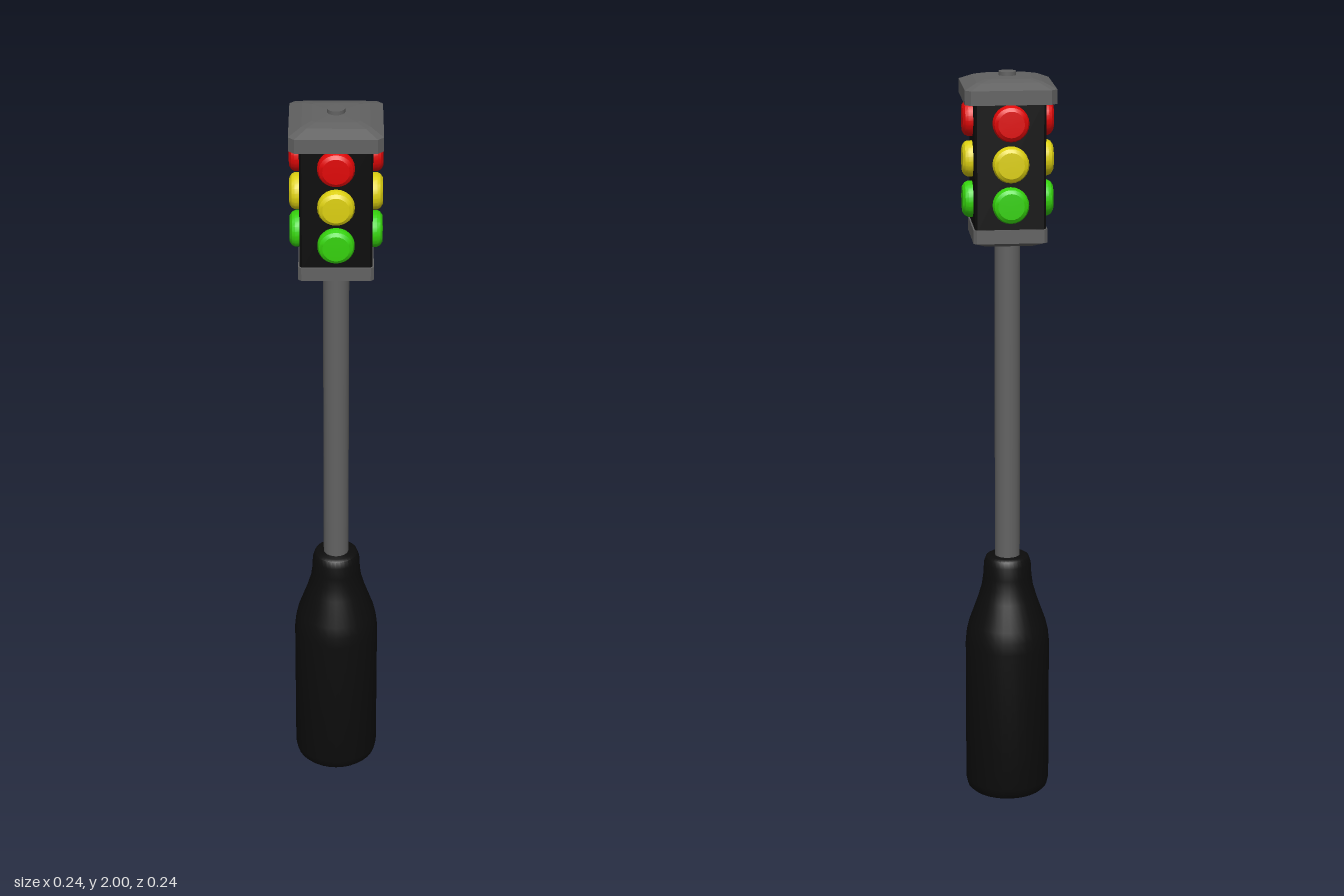
import * as THREE from 'three';
import { toCreasedNormals } from 'three/addons/utils/BufferGeometryUtils.js';

const mat = (name, color) => {
  const m = new THREE.MeshStandardMaterial({ color });
  m.name = name;
  return m;
};

// Closed loft through square sections with cut corners: [y, halfWidth, cornerCut]
function squareLoft(sections) {
  const pos = [], idx = [], n = 8;
  for (const [y, h, c] of sections) {
    const k = h - c;
    for (const [x, z] of [[h, -k], [h, k], [k, h], [-k, h], [-h, k], [-h, -k], [-k, -h], [k, -h]]) pos.push(x, y, z);
  }
  const last = (sections.length - 1) * n;
  for (let s = 0; s < last; s += n) {
    for (let i = 0; i < n; i++) {
      const a = s + i, b = s + (i + 1) % n;
      idx.push(a, a + n, b, b, a + n, b + n);
    }
  }
  for (let i = 1; i < n - 1; i++) {
    idx.push(0, i, i + 1);
    idx.push(last, last + i + 1, last + i);
  }
  const g = new THREE.BufferGeometry();
  g.setAttribute('position', new THREE.Float32BufferAttribute(pos, 3));
  g.setIndex(idx);
  return toCreasedNormals(g, 0.02);
}

// Turned shape from [radius, y] points, sharp where the profile bends strongly
const turned = (points, sides, crease = 0.5) =>
  toCreasedNormals(new THREE.LatheGeometry(points.map(p => new THREE.Vector2(...p)), sides), crease);

export function createModel() {
  const group = new THREE.Group();
  const grey = mat('grey metal', 0x626262);
  const black = mat('black', 0x0c0c0c);
  const add = (name, geometry, material, parent = group) => {
    const mesh = new THREE.Mesh(geometry, material);
    mesh.name = name;
    parent.add(mesh);
    return mesh;
  };

  // Bottle-shaped handle
  add('handle', turned([
    [0, 0], [0.102, 0], [0.11, 0.008], [0.115, 0.03], [0.115, 0.43], [0.112, 0.46], [0.105, 0.49],
    [0.08, 0.56], [0.07, 0.595], [0.066, 0.625], [0.064, 0.66], [0.058, 0.678], [0.05, 0.683], [0, 0.683],
  ], 32, 0.7), black);

  // Pole
  const pole = add('pole', new THREE.CylinderGeometry(0.034, 0.034, 0.9, 24), grey);
  pole.position.y = 1.12;

  // Signal head
  add('lowerPlate', squareLoft([[1.555, 0.07, 0.01], [1.567, 0.096, 0.008], [1.603, 0.096, 0.008]]), grey);
  add('housing', squareLoft([[1.6, 0.092, 0.006], [1.935, 0.092, 0.006]]), black);
  add('roof', squareLoft([
    [1.93, 0.118, 0.015], [1.967, 0.118, 0.015], [1.982, 0.085, 0.012], [1.988, 0.06, 0.01], [1.99, 0.02, 0.005],
  ]), grey);
  const knob = add('roofKnob', new THREE.CylinderGeometry(0.023, 0.023, 0.02, 24), grey);
  knob.position.y = 1.99;

  // Three lamps on each of the four sides
  const lensGeometry = turned([
    [0, -0.004], [0.047, -0.004], [0.047, 0.012], [0.043, 0.02], [0.034, 0.026], [0, 0.027],
  ], 24).rotateX(Math.PI / 2);
  const lamps = [
    ['redLamp', 1.88, mat('red', 0xe00606)],
    ['yellowLamp', 1.774, mat('yellow', 0xddd010)],
    ['greenLamp', 1.668, mat('green', 0x35d20c)],
  ];
  for (let i = 0; i < 4; i++) {
    const side = new THREE.Group();
    side.name = 'lampColumn' + (i + 1);
    side.rotation.y = i * Math.PI / 2;
    for (const [name, y, material] of lamps) add(name, lensGeometry, material, side).position.set(0, y, 0.092);
    group.add(side);
  }
  return group;
}
